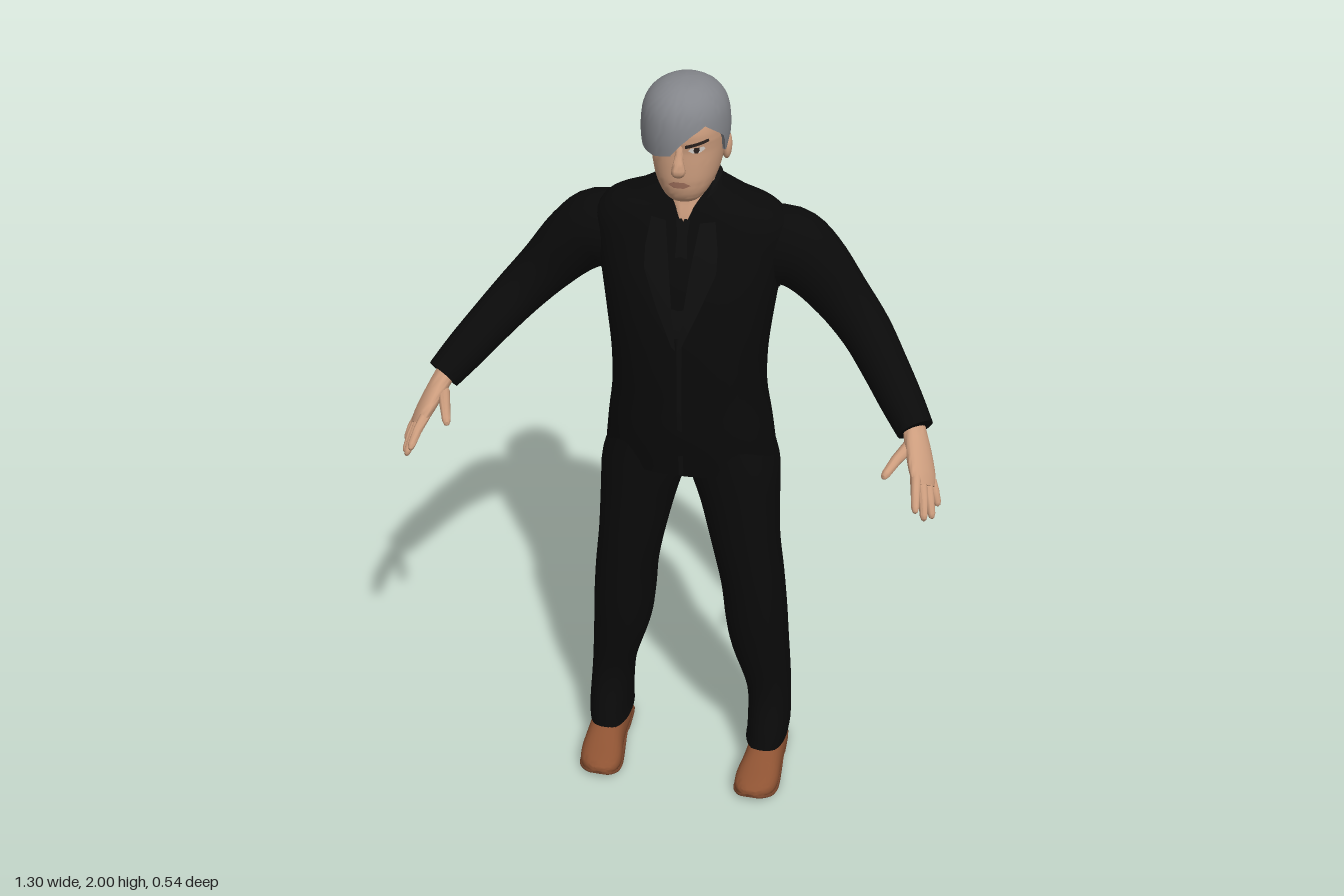
import * as THREE from 'three';
import { toCreasedNormals } from 'three/addons/utils/BufferGeometryUtils.js';

const mat = (name, color, side = THREE.FrontSide) => {
  const m = new THREE.MeshStandardMaterial({ color, side });
  m.name = name;
  return m;
};

// Catmull-Rom subdivision of rows of numbers
function smooth(rows, k = 4) {
  const out = [], at = i => rows[Math.max(0, Math.min(rows.length - 1, i))];
  for (let i = 0; i < rows.length - 1; i++) {
    for (let j = 0; j < k; j++) {
      const t = j / k;
      out.push(rows[i].map((b, n) => {
        const a = at(i - 1)[n], c = at(i + 1)[n], d = at(i + 2)[n];
        return b + 0.5 * t * (c - a + t * (2 * a - 5 * b + 4 * c - d + t * (3 * (b - c) + d - a)));
      }));
    }
  }
  out.push(rows[rows.length - 1]);
  return out;
}

// row of a table at a given first-column value
function lookup(rows, key) {
  let i = 0;
  while (i < rows.length - 2 && rows[i + 1][0] < key) i++;
  const a = rows[i], b = rows[i + 1];
  const t = Math.max(0, Math.min(1, (key - a[0]) / (b[0] - a[0])));
  return a.map((v, n) => v + (b[n] - v) * t);
}

// closed skin over rings of points, capped at both ends
function loft(rings, crease = 0.9) {
  const n = rings[0].length, pos = [], idx = [];
  rings.forEach(r => r.forEach(p => pos.push(...p)));
  const centre = r => [0, 1, 2].map(k => r.reduce((s, p) => s + p[k], 0) / n);
  const last = rings.length - 1, c0 = n * rings.length;
  pos.push(...centre(rings[0]), ...centre(rings[last]));
  for (let i = 0; i < n; i++) {
    const j = (i + 1) % n;
    for (let r = 0; r < last; r++) {
      const a = r * n, b = a + n;
      idx.push(a + i, a + j, b + j, a + i, b + j, b + i);
    }
    idx.push(c0, j, i, c0 + 1, last * n + i, last * n + j);
  }
  const g = new THREE.BufferGeometry();
  g.setAttribute('position', new THREE.Float32BufferAttribute(pos, 3));
  g.setIndex(idx);
  return toCreasedNormals(g, crease);
}

const angles = n => Array.from({ length: n }, (_, i) => i / n * Math.PI * 2);
const pw = (v, p) => Math.sign(v) * Math.abs(v) ** (2 / p);

// upright body from rows [y, xMin, xMax, zFront, zBack]
const column = (rows, p = 2, n = 40) => loft(rows.map(([y, x0, x1, zf, zb]) => angles(n).map(a => [
  (x0 + x1) / 2 + (x1 - x0) / 2 * pw(Math.sin(a), p), y,
  (zf + zb) / 2 + (zf - zb) / 2 * pw(Math.cos(a), p)])));

// limb along rows [x, y, z, r1, r2], r1 measured along the given axis
function limb(rows, axis, n = 20) {
  const P = rows.map(r => new THREE.Vector3(r[0], r[1], r[2]));
  return loft(rows.map((r, i) => {
    const w = P[Math.min(i + 1, P.length - 1)].clone().sub(P[Math.max(i - 1, 0)]).normalize();
    const u = axis.clone().addScaledVector(w, -axis.dot(w)).normalize();
    const v = w.clone().cross(u);
    return angles(n).map(a => P[i].clone().addScaledVector(u, r[3] * Math.cos(a))
      .addScaledVector(v, r[4] * Math.sin(a)).toArray());
  }));
}

// flat-bottomed shoe section rows [z, xCentre, halfWidth, yBottom, yTop]
const shoeLoft = (rows, s) => loft(rows.map(([z, cx, hw, yb, yt]) => angles(24).map(a => [
  s * cx + hw * pw(Math.cos(a), 2.4), yb + (yt - yb) * Math.max(0, 0.3 + 0.7 * pw(Math.sin(a), 2.4)), z])));

// thin patch hugging the front of a column; rows [xA, yA, xB, yB] go upward
function patch(body, p, rows, lift) {
  const pos = [], idx = [], m = 6;
  rows.forEach(([xa, ya, xb, yb], r) => {
    for (let i = 0; i <= m; i++) {
      const x = xa + (xb - xa) * i / m, y = ya + (yb - ya) * i / m;
      const [, x0, x1, zf, zb] = lookup(body, y);
      const q = Math.min(1, Math.abs((x - (x0 + x1) / 2) / ((x1 - x0) / 2)));
      pos.push(x, y, (zf + zb) / 2 + (zf - zb) / 2 * (1 - q ** p) ** (1 / p) + lift);
      if (r && i) {
        const d = r * (m + 1) + i, c = d - 1, b = d - m - 1, a = b - 1;
        idx.push(a, b, d, a, d, c);
      }
    }
  });
  const g = new THREE.BufferGeometry();
  g.setAttribute('position', new THREE.Float32BufferAttribute(pos, 3));
  g.setIndex(idx);
  g.computeVertexNormals();
  return g;
}
const flip = (rows, s) => s > 0 ? rows : rows.map(([a, b, c, d]) => [-c, d, -a, b]);

export function createModel() {
  const model = new THREE.Group();
  model.name = 'suitedMan';
  const suit = mat('black suit', 0x0a0a0a), trim = mat('black trim', 0x0e0e0e, THREE.DoubleSide);
  const skin = mat('skin', 0xcb9c7d), hairMat = mat('grey hair', 0x84868b, THREE.DoubleSide);
  const leather = mat('brown leather', 0x8e5333), soleMat = mat('dark brown sole', 0x74432a);
  const lip = mat('lips', 0xa0705c), dark = mat('dark brow', 0x2a221f), white = mat('eye white', 0xd8d2cc);
  const add = (name, g, m) => {
    const mesh = new THREE.Mesh(g, m);
    mesh.name = name;
    model.add(mesh);
    return mesh;
  };

  // jacket body with flared hem and sloping shoulders
  const torso = smooth([
    [0.995, -0.218, 0.218, 0.022, -0.266], [1.1, -0.205, 0.205, 0.04, -0.262], [1.2, -0.191, 0.191, 0.046, -0.246],
    [1.3, -0.19, 0.19, 0.05, -0.248], [1.4, -0.2, 0.2, 0.046, -0.252], [1.5, -0.214, 0.214, 0.03, -0.254],
    [1.58, -0.228, 0.228, 0.006, -0.25], [1.64, -0.232, 0.232, -0.014, -0.238], [1.68, -0.2, 0.2, -0.028, -0.225],
    [1.7, -0.145, 0.145, -0.036, -0.215], [1.725, -0.1, 0.1, -0.05, -0.195], [1.745, -0.068, 0.068, -0.06, -0.178]]);
  add('jacket', column(torso, 2.3, 48), suit);

  // shirt collar, low at the throat and high at the nape
  add('collar', loft([[0, 1.1], [1, 1], [1, 0.86], [0, 0.9]].map(([top, k]) => angles(40).map(a => {
    const f = Math.max(0, Math.cos(a)) ** 2;
    return [0.073 * k * Math.sin(a), (top ? 1.758 - 0.07 * f : 1.715 - 0.045 * f), -0.107 + 0.074 * k * Math.cos(a)];
  }))), trim);

  // tie, closing edge and lapels
  add('tie', patch(torso, 2.3, [[-0.008, 1.4, 0.008, 1.4], [-0.02, 1.44, 0.02, 1.44], [-0.012, 1.64, 0.012, 1.64], [-0.016, 1.675, 0.016, 1.675]], 0.003), trim);
  add('frontEdge', patch(torso, 2.3, [[0, 1, 0.012, 1], [0, 1.2, 0.012, 1.2], [0, 1.4, 0.012, 1.4]], 0.004), trim);
  for (const s of [1, -1]) {
    add('lapel', patch(torso, 2.3, flip([[0.002, 1.37, 0.012, 1.38], [0.012, 1.45, 0.05, 1.47], [0.022, 1.54, 0.085, 1.56],
      [0.03, 1.6, 0.085, 1.61], [0.04, 1.67, 0.075, 1.675]], s), 0.007), trim);
  }

  // trouser legs: [y, inner x, outer x, front z, back z]
  const leg = smooth([
    [0.085, 0.166, 0.279, -0.012, -0.215], [0.13, 0.168, 0.282, -0.022, -0.22], [0.25, 0.16, 0.276, -0.046, -0.225],
    [0.4, 0.116, 0.266, -0.024, -0.23], [0.5, 0.1, 0.26, -0.01, -0.226], [0.62, 0.088, 0.25, 0, -0.216],
    [0.75, 0.062, 0.236, 0.008, -0.212], [0.88, 0.03, 0.23, 0.012, -0.238], [0.98, -0.002, 0.224, 0.014, -0.25],
    [1.08, -0.01, 0.19, 0.015, -0.24]]);
  const shoe = smooth([
    [-0.212, 0.225, 0.018, 0.02, 0.055], [-0.2, 0.225, 0.038, 0.01, 0.08], [-0.15, 0.226, 0.048, 0.008, 0.098],
    [-0.08, 0.226, 0.049, 0.008, 0.105], [-0.02, 0.224, 0.053, 0.008, 0.092], [0.03, 0.22, 0.058, 0.008, 0.072],
    [0.065, 0.217, 0.053, 0.012, 0.06], [0.09, 0.213, 0.036, 0.02, 0.05], [0.1, 0.211, 0.015, 0.026, 0.042]], 3);
  const sole = smooth([
    [-0.214, 0.225, 0.022, 0, 0.02], [-0.2, 0.225, 0.044, 0, 0.02], [-0.12, 0.225, 0.05, 0, 0.02], [-0.09, 0.225, 0.05, 0.009, 0.02],
    [-0.03, 0.223, 0.056, 0.002, 0.018], [0.03, 0.22, 0.061, 0, 0.016], [0.068, 0.217, 0.055, 0.006, 0.02],
    [0.095, 0.213, 0.034, 0.016, 0.028], [0.102, 0.212, 0.015, 0.021, 0.03]], 3);

  // sleeves
  const arm = smooth([
    [0.16, 1.565, -0.14, 0.1, 0.085], [0.23, 1.57, -0.143, 0.098, 0.086], [0.29, 1.535, -0.138, 0.084, 0.077], [0.36, 1.465, -0.123, 0.069, 0.064],
    [0.425, 1.4, -0.09, 0.061, 0.06], [0.48, 1.345, -0.03, 0.055, 0.056], [0.53, 1.293, 0.03, 0.05, 0.053], [0.572, 1.248, 0.08, 0.043, 0.047]]);
  const palm = smooth([
    [0.565, 1.255, 0.065, 0.03, 0.024], [0.585, 1.217, 0.115, 0.04, 0.022], [0.602, 1.182, 0.16, 0.044, 0.018], [0.611, 1.163, 0.182, 0.036, 0.012]], 3);
  // digits: base then tip
  const digits = {
    indexFinger: [[0.588, 1.19, 0.182], [0.6, 1.145, 0.268]], middleFinger: [[0.602, 1.176, 0.178], [0.62, 1.112, 0.247]],
    ringFinger: [[0.614, 1.165, 0.166], [0.636, 1.098, 0.214]], littleFinger: [[0.622, 1.158, 0.148], [0.645, 1.108, 0.175]],
    thumb: [[0.562, 1.222, 0.115], [0.518, 1.2, 0.226]] };

  for (const s of [1, -1]) {
    const side = s > 0 ? 'left' : 'right', m = rows => rows.map(r => [r[0] * s, ...r.slice(1)]);
    add(side + 'Trouser', column(leg.map(([y, a, b, f, k]) => s > 0 ? [y, a, b, f, k] : [y, -b, -a, f, k]), 2.3), suit);
    add(side + 'Shoe', shoeLoft(shoe, s), leather);
    add(side + 'Sole', shoeLoft(sole, s), soleMat);
    add(side + 'Sleeve', limb(m(arm), new THREE.Vector3(s, 1, 0), 28), suit);
    const across = new THREE.Vector3(-0.035 * s, 0.03, 0.04);
    add(side + 'Palm', limb(m(palm), across), skin);
    for (const [name, [a, b]] of Object.entries(digits)) {
      const k = name === 'thumb' ? 1.15 : 1;
      const rows = [[0, 0.013], [0.5, 0.011], [0.88, 0.009], [0.97, 0.006], [1, 0.002]].map(([t, r]) => [
        ...a.map((v, i) => v + (b[i] - v) * t + (i === 1 ? 0.024 * t * (1 - t) : 0)), r * k, r * k]);
      add(side + '_' + name, limb(m(rows), across, 12), skin);
    }
    // ears
    const ear = add(side + 'Ear', new THREE.SphereGeometry(1, 16, 12), skin);
    ear.scale.set(0.012, 0.032, 0.02);
    ear.position.set(0.086 * s, 1.838, -0.09);
    ear.rotation.set(-0.15, 0.3 * s, 0);
  }

  // neck and face
  add('neck', column(smooth([[1.665, -0.02, 0.02, -0.02, -0.12], [1.69, -0.045, 0.045, -0.027, -0.155], [1.72, -0.056, 0.056, -0.036, -0.165],
    [1.76, -0.056, 0.056, -0.04, -0.166], [1.8, -0.055, 0.055, -0.05, -0.165]])), skin);
  const face = smooth([
    [1.723, -0.02, 0.02, -0.016, -0.06], [1.73, -0.036, 0.036, -0.001, -0.08], [1.748, -0.053, 0.053, 0.012, -0.11],
    [1.78, -0.07, 0.07, 0.02, -0.15], [1.82, -0.08, 0.08, 0.021, -0.172], [1.86, -0.085, 0.085, 0.02, -0.182],
    [1.89, -0.086, 0.086, 0.024, -0.184], [1.93, -0.08, 0.08, 0.012, -0.17], [1.965, -0.055, 0.055, -0.02, -0.14]]);
  add('face', column(face, 2.2), skin);
  add('nose', limb(smooth([[0, 1.872, 0.016, 0.008, 0.008], [0, 1.845, 0.024, 0.01, 0.011], [0, 1.82, 0.03, 0.016, 0.015],
    [0, 1.81, 0.028, 0.015, 0.012], [0, 1.804, 0.022, 0.006, 0.005]], 3), new THREE.Vector3(1, 0, 0), 16), skin);
  add('mouth', patch(face, 2.2, [[-0.012, 1.772, 0.012, 1.772], [-0.026, 1.779, 0.026, 1.779], [-0.012, 1.787, 0.012, 1.787]], 0.004), lip);
  for (const s of [1, -1]) {
    add('eyeWhite', patch(face, 2.2, flip([[0.03, 1.857, 0.045, 1.857], [0.02, 1.863, 0.056, 1.865], [0.026, 1.869, 0.052, 1.871]], s), 0.002), white);
    add('iris', patch(face, 2.2, flip([[0.035, 1.857, 0.041, 1.857], [0.032, 1.864, 0.045, 1.864], [0.034, 1.871, 0.044, 1.871]], s), 0.004), dark);
    add('eyebrow', patch(face, 2.2, flip([[0.014, 1.869, 0.064, 1.882], [0.015, 1.878, 0.062, 1.889]], s), 0.005), dark);
  }

  // hair: rounded shell whose lower edge follows [angle, y], swept fringe in front
  const edge = [[-180, 1.77], [-120, 1.79], [-105, 1.85], [-95, 1.86], [-85, 1.83], [-72, 1.85], [-30, 1.848], [-5, 1.858], [8, 1.885],
    [22, 1.905], [40, 1.922], [58, 1.9], [72, 1.88], [82, 1.83], [95, 1.86], [105, 1.85], [120, 1.79], [180, 1.77]];
  const shell = smooth([
    [1.765, 0.066, 0.03, -0.16], [1.82, 0.09, 0.04, -0.19], [1.86, 0.099, 0.045, -0.202], [1.9, 0.1, 0.045, -0.203],
    [1.94, 0.094, 0.037, -0.192], [1.97, 0.077, 0.018, -0.168], [1.99, 0.05, -0.012, -0.132], [1.997, 0.028, -0.04, -0.105], [2, 0.001, -0.072, -0.074]], 6);
  const rings = [-1, ...Array.from({ length: 17 }, (_, i) => i / 16)].map(t => angles(72).map(a => {
    const deg = a * 180 / Math.PI, b = lookup(edge, deg > 180 ? deg - 360 : deg)[1];
    const y = t < 0 ? b + 0.004 : b + (2 - b) * Math.sin(t * Math.PI / 2);
    const [, rx, zf, zb] = lookup(shell, y), k = t < 0 ? 0.8 : 1;
    return [-0.006 + rx * k * Math.sin(a), y, (zf + zb) / 2 + (zf - zb) / 2 * k * Math.cos(a)];
  }));
  add('hair', loft(rings), hairMat);
  return model;
}
